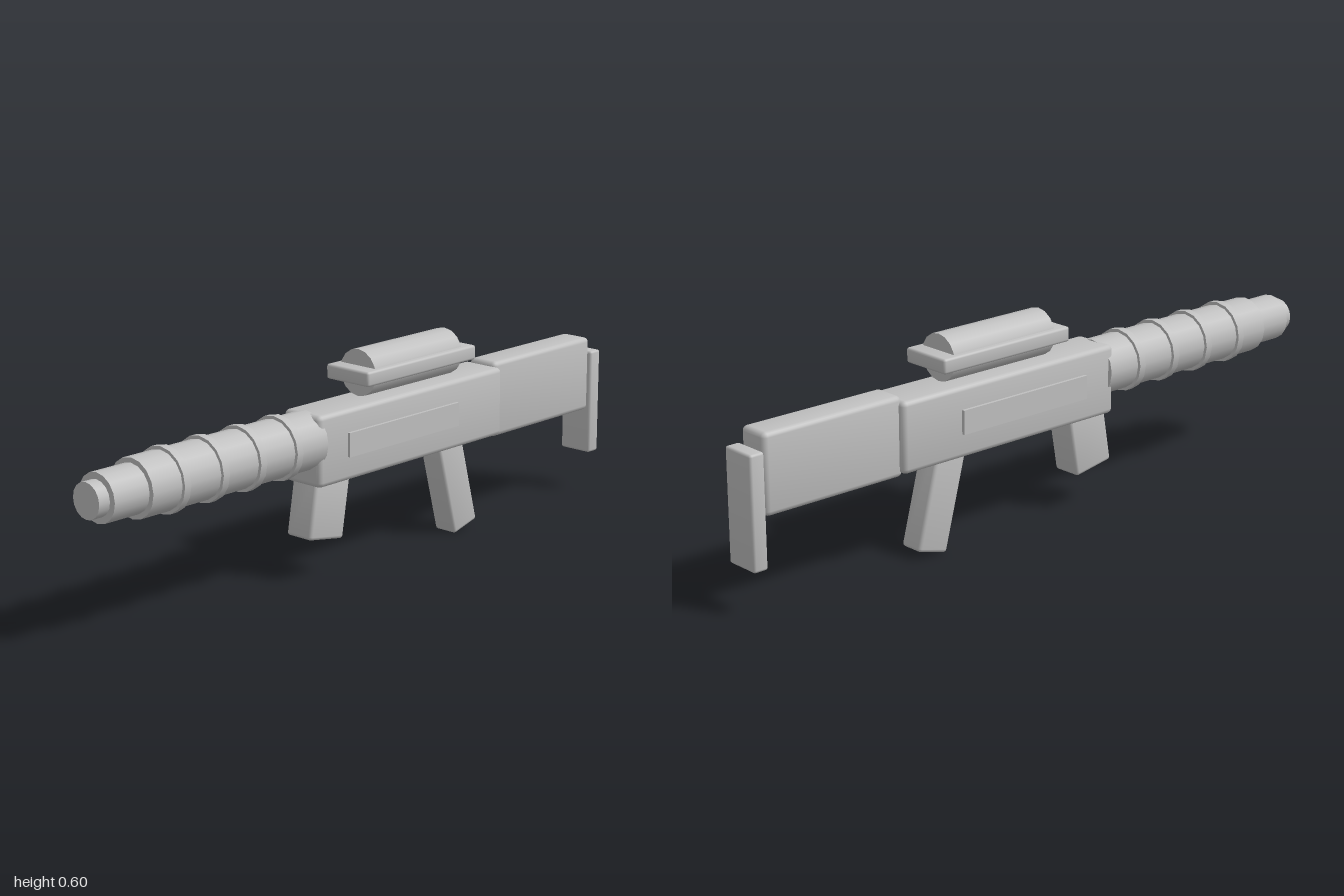
import * as THREE from 'three';
import { RoundedBoxGeometry } from 'three/addons/geometries/RoundedBoxGeometry.js';

const grey = new THREE.MeshStandardMaterial({ color: 0xc0c0c0 });
grey.name = 'light grey';

// Bevelled box whose normals lean softly toward its corners
function softBox(width, height, depth, radius) {
  const geometry = new RoundedBoxGeometry(width, height, depth, 2, radius);
  const { position, normal } = geometry.attributes;
  const n = new THREE.Vector3();
  for (let i = 0; i < normal.count; i++) {
    const lean = [position.getX(i), position.getY(i), position.getZ(i)].map((v) => 0.15 * Math.sign(v));
    n.fromBufferAttribute(normal, i).add(new THREE.Vector3(...lean)).normalize();
    normal.setXYZ(i, n.x, n.y, n.z);
  }
  return geometry;
}

export function createModel() {
  const model = new THREE.Group();
  model.name = 'toyBlaster';

  const add = (name, geometry, x, y, z, tilt = 0) => {
    const mesh = new THREE.Mesh(geometry, grey);
    mesh.name = name;
    mesh.position.set(x, y, z);
    mesh.rotation.x = tilt;
    model.add(mesh);
  };
  // Soft box given by its half width and its y and z extents
  const block = (name, halfWidth, y0, y1, z0, z1, radius) =>
    add(name, softBox(2 * halfWidth, y1 - y0, z1 - z0, radius), 0, (y0 + y1) / 2, (z0 + z1) / 2);
  // Cylinder lying along z
  const tube = (name, radius, y, z0, z1) =>
    add(name, new THREE.CylinderGeometry(radius, radius, z1 - z0, 16).rotateX(Math.PI / 2),
      0, y, (z0 + z1) / 2);

  // Receiver, stock and butt plate
  block('receiver', 0.067, 0.267, 0.467, -0.52, 0.24, 0.014);
  block('stock', 0.048, 0.257, 0.48, -0.953, -0.508, 0.014);
  block('buttPlate', 0.053, 0.12, 0.435, -1, -0.956, 0.007);

  // Raised panels on both sides
  for (const side of [1, -1]) {
    add(side > 0 ? 'leftPanel' : 'rightPanel',
      new THREE.BoxGeometry(0.02, 0.068, 0.45), side * 0.066, 0.369, -0.095);
  }

  // Barrel with rings and stepped muzzle
  tube('barrel', 0.081, 0.39, 0.22, 0.85);
  tube('muzzle', 0.067, 0.39, 0.84, 0.965);
  tube('muzzleTip', 0.049, 0.39, 0.96, 1);
  for (let i = 0; i < 4; i++) {
    const z = 0.335 + i * 0.135;
    tube('barrelRing' + (i + 1), 0.09, 0.39, z - 0.011, z + 0.011);
  }

  // Scope with its surrounding plate
  tube('scope', 0.066, 0.538, -0.342, 0.017);
  block('scopePlate', 0.078, 0.516, 0.558, -0.388, 0.061, 0.007);

  // Tilted grips, sunk into the receiver
  add('frontGrip', softBox(0.09, 0.19, 0.132, 0.009), 0, 0.203, 0.174, -0.17);
  add('rearGrip', softBox(0.075, 0.33, 0.1, 0.009), 0, 0.17, -0.359, 0.26);

  return model;
}
